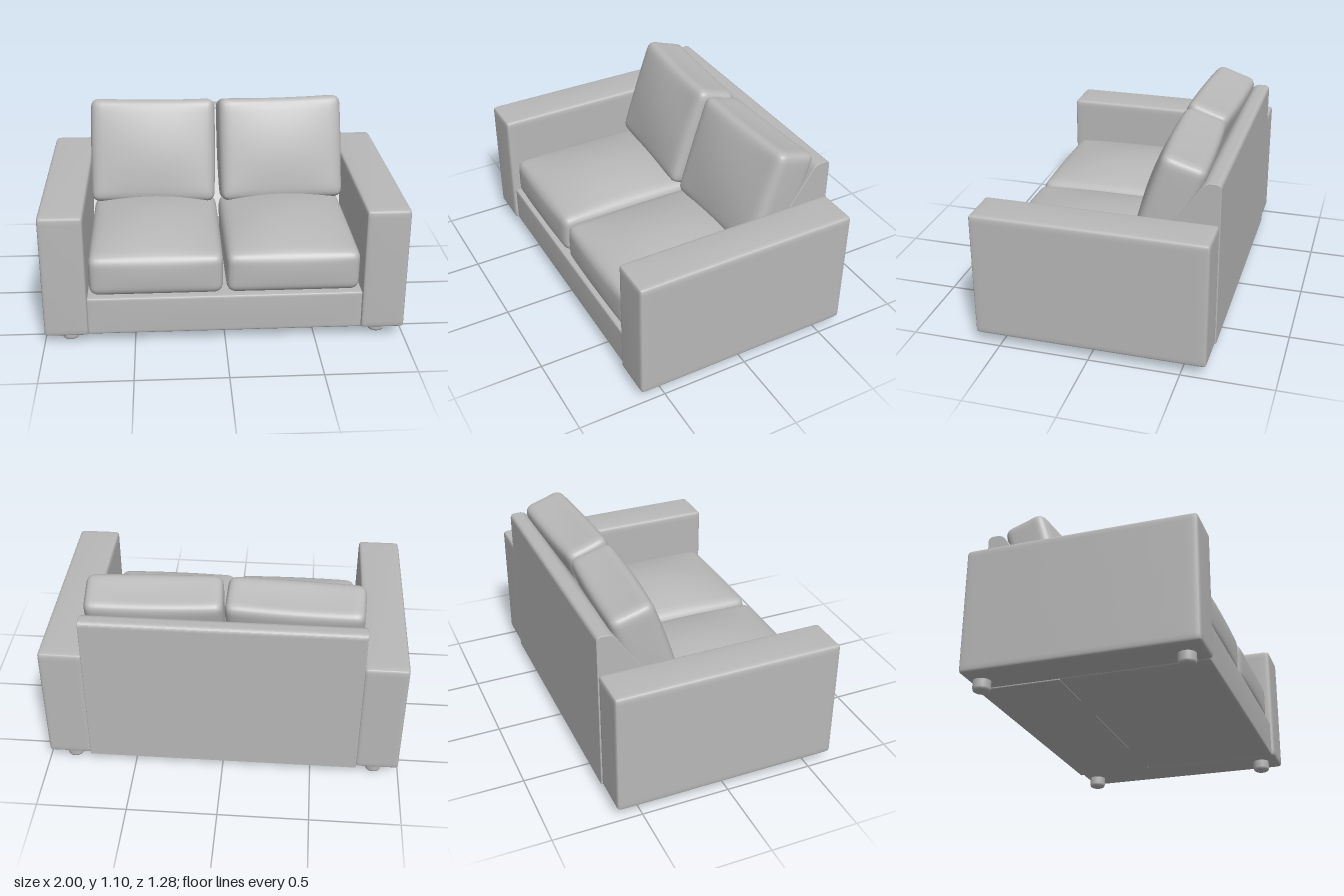
import * as THREE from 'three';
import { mergeVertices } from 'three/addons/utils/BufferGeometryUtils.js';

const fabric = new THREE.MeshStandardMaterial({ color: 0xb8b8b8 });
fabric.name = 'grey fabric';

// Upholstered block: rounded edges of radius r, each face swelling by its own bulge.
// puff = [sides, top, bottom, front, back]
function softBox(w, h, d, r, puff, n = 20) {
  let geo = new THREE.BoxGeometry(2, 2, 2, n, n, n);
  geo.deleteAttribute('uv');
  geo.deleteAttribute('normal');
  geo = mergeVertices(geo);
  const half = new THREE.Vector3(w / 2, h / 2, d / 2);
  const core = half.clone().subScalar(r);
  const p = new THREE.Vector3(), inner = new THREE.Vector3();
  const pos = geo.attributes.position;
  const [side, top, bottom, front, back] = puff;
  for (let i = 0; i < pos.count; i++) {
    p.fromBufferAttribute(pos, i);
    // crowd the grid towards the edges so that the rounding is smooth
    for (const k of ['x', 'y', 'z']) p[k] = Math.sin(p[k] * Math.PI / 2) * half[k];
    inner.copy(p).clamp(core.clone().negate(), core);
    p.sub(inner);
    if (p.lengthSq() > 0) p.setLength(r);
    p.add(inner);
    const u = p.x / half.x, v = p.y / half.y, t = p.z / half.z;
    const fx = 1 - u * u, fy = 1 - v * v, fz = 1 - t * t;
    p.x += side * u * fy * fz;
    p.y += (v > 0 ? top : bottom) * v * fx * fz;
    p.z += (t > 0 ? front : back) * t * fx * fy;
    pos.setXYZ(i, p.x, p.y, p.z);
  }
  geo.computeVertexNormals();
  return geo;
}

export function createModel() {
  const sofa = new THREE.Group();
  sofa.name = 'sofa';

  function add(name, geo, x, y, z) {
    const mesh = new THREE.Mesh(geo, fabric);
    mesh.name = name;
    mesh.position.set(x, y, z);
    sofa.add(mesh);
    return mesh;
  }

  // Seat base between the arms
  add('seatBase', softBox(1.52, 0.22, 1.02, 0.012, [0, 0, 0, 0.003, 0]), 0, 0.17, 0.11);

  // Backrest frame: wedge with an upright rear and a raked front
  const profile = new THREE.Shape();
  profile.moveTo(-0.636, 0.062);
  profile.lineTo(-0.18, 0.062);
  profile.lineTo(-0.18, 0.4);
  profile.lineTo(-0.41, 0.77);
  profile.lineTo(-0.535, 0.96);
  profile.quadraticCurveTo(-0.555, 0.99, -0.585, 0.99);
  profile.lineTo(-0.61, 0.99);
  profile.quadraticCurveTo(-0.636, 0.99, -0.636, 0.965);
  const wedge = new THREE.ExtrudeGeometry(profile, {
    depth: 1.51, bevelEnabled: true, bevelSize: 0.004, bevelThickness: 0.004,
    bevelSegments: 2, curveSegments: 8,
  });
  wedge.translate(0, 0, -0.755);
  wedge.rotateY(-Math.PI / 2);
  add('backrest', wedge, 0, 0, 0);

  // Foot profile, softened at the floor
  const footProfile = [[0, 0], [0.034, 0], [0.044, 0.006], [0.048, 0.018], [0.048, 0.075]]
    .map(([x, y]) => new THREE.Vector2(x, y));
  const footGeo = new THREE.LatheGeometry(footProfile, 24);

  const armGeo = softBox(0.243, 0.71, 1.272, 0.02, [0, 0.008, 0, 0.003, 0]);
  const seatGeo = softBox(0.735, 0.235, 0.95, 0.05, [0.004, 0.07, 0, 0.012, 0]);
  const backGeo = softBox(0.74, 0.62, 0.25, 0.05, [0.004, -0.012, 0, 0.035, 0.02]);

  for (const s of [-1, 1]) {
    const label = s > 0 ? 'left' : 'right';
    add(label + 'Arm', armGeo, s * 0.876, 0.415, 0);
    add(label + 'SeatCushion', seatGeo, s * 0.377, 0.395, 0.127);

    // Back cushion leans on the frame and turns slightly towards the middle
    const cushion = add(label + 'BackCushion', backGeo, s * 0.382, 0.785, -0.335);
    cushion.rotation.set(-0.31, -s * -0.05, 0, 'YXZ');

    add(label + 'FrontFoot', footGeo, s * 0.86, 0, 0.53);
    add(label + 'BackFoot', footGeo, s * 0.86, 0, -0.565);
  }
  return sofa;
}
